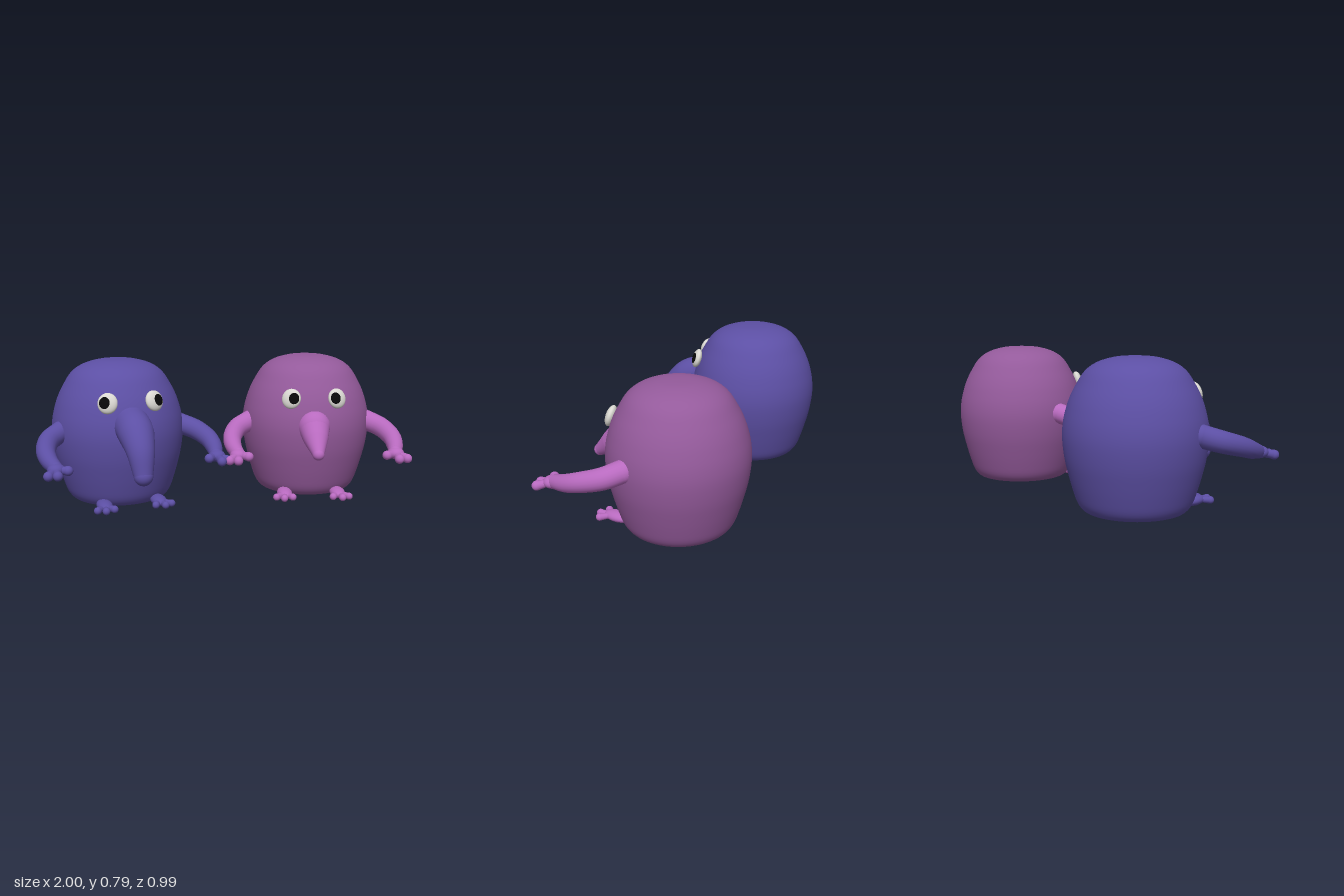
import * as THREE from 'three';
import { mergeVertices } from 'three/addons/utils/BufferGeometryUtils.js';

const material = (name, color) => {
  const m = new THREE.MeshStandardMaterial({ color });
  m.name = name;
  return m;
};

const add = (parent, name, geometry, mat) => {
  const mesh = new THREE.Mesh(geometry, mat);
  mesh.name = name;
  parent.add(mesh);
  return mesh;
};

const ellipsoid = (parent, name, mat, pos, size) => {
  const mesh = add(parent, name, new THREE.SphereGeometry(1, 28, 20), mat);
  mesh.position.set(...pos);
  mesh.scale.set(...size);
  return mesh;
};

// Round-ended tube through points whose radius follows the radii list
function limb(parent, name, mat, points, radii, steps = 24, sides = 20) {
  const group = new THREE.Group();
  group.name = name;
  parent.add(group);
  const curve = new THREE.CatmullRomCurve3(points.map(p => new THREE.Vector3(...p)));
  let geo = new THREE.TubeGeometry(curve, steps, 1, sides);
  const pos = geo.attributes.position;
  const v = new THREE.Vector3();
  for (let i = 0; i <= steps; i++) {
    const centre = curve.getPointAt(i / steps);
    const t = (i / steps) * (radii.length - 1);
    const k = Math.min(Math.floor(t), radii.length - 2);
    const r = THREE.MathUtils.lerp(radii[k], radii[k + 1], t - k);
    for (let j = 0; j <= sides; j++) {
      const n = i * (sides + 1) + j;
      v.fromBufferAttribute(pos, n).sub(centre).multiplyScalar(r).add(centre);
      pos.setXYZ(n, v.x, v.y, v.z);
    }
  }
  geo.deleteAttribute('uv');
  geo.deleteAttribute('normal');
  geo = mergeVertices(geo, 1e-5);
  geo.computeVertexNormals();
  add(group, name + 'Tube', geo, mat);
  const ends = [[points[0], radii[0]], [points.at(-1), radii.at(-1)]];
  for (const [p, r] of ends) ellipsoid(group, name + 'End', mat, p, [r, r, r]);
  return group;
}

// Barrel-shaped body with a flat base
function bodyGeometry() {
  const side = [
    [0.22, 0.003], [0.26, 0.014], [0.29, 0.05], [0.312, 0.11], [0.335, 0.19], [0.356, 0.28],
    [0.367, 0.38], [0.362, 0.46], [0.346, 0.53], [0.327, 0.585], [0.3, 0.64], [0.255, 0.71],
    [0.195, 0.754], [0.115, 0.779], [0.05, 0.786], [0, 0.787]
  ].map(p => new THREE.Vector2(...p));
  const profile = new THREE.SplineCurve(side).getPoints(50);
  profile[profile.length - 1].x = 0;
  return new THREE.LatheGeometry([new THREE.Vector2(0, 0), ...profile], 64);
}

function creature(name, x, turn, bodyMat, limbMat, white, black, o) {
  const g = new THREE.Group();
  g.name = name;
  g.position.set(x, 0, -0.142);
  g.rotation.y = turn;
  add(g, 'body', bodyGeometry(), bodyMat);
  limb(g, 'nose', limbMat, o.nose, o.noseRadii, 32, 28);

  for (const s of [-1, 1]) {
    const side = s > 0 ? 'left' : 'right';
    const flip = pts => pts.map(([a, b, c]) => [a * s, b, c]);

    // Arm, palm and three fingers
    limb(g, side + 'Arm', limbMat, flip([
      [0.337, 0.413, 0.093], [0.41, 0.385, 0.163], [0.447, 0.352, 0.278],
      [0.445, 0.324, 0.37], [0.427, 0.304, 0.45]
    ]), [0.058, 0.056, 0.052, 0.046, 0.036]);
    ellipsoid(g, side + 'Palm', limbMat, [0.427 * s, 0.3, 0.464], [0.044, 0.032, 0.045]);
    const fingers = [[0.372, 0.297, 0.497], [0.43, 0.284, 0.535], [0.475, 0.284, 0.523]];
    for (const tip of fingers)
      limb(g, side + 'Finger', limbMat, flip([[0.427, 0.3, 0.462], tip]), [0.022, 0.02, 0.025], 8, 14);

    // Foot with three toes
    ellipsoid(g, side + 'Foot', limbMat, [0.15 * s, 0.033, 0.285], [0.042, 0.028, 0.08]);
    for (const [tx, tz] of [[0.113, 0.365], [0.162, 0.385], [0.203, 0.36]])
      limb(g, side + 'Toe', limbMat, flip([[0.152, 0.032, 0.31], [tx, 0.03, tz]]), [0.018, 0.016, 0.02], 8, 14);

    // Flattened eye lying against the body, with a thin pupil cap
    const eye = new THREE.Group();
    eye.name = side + 'Eye';
    const a = s * 0.375;
    eye.position.set(Math.sin(a) * 0.343, o.eyeY, Math.cos(a) * 0.343);
    eye.rotation.set(-0.3, a, 0, 'YXZ');
    g.add(eye);
    ellipsoid(eye, 'eyeball', white, [0, 0, 0], [0.053, 0.056, 0.026]);
    const cap = new THREE.SphereGeometry(1, 28, 8, 0, Math.PI * 2, 0, 0.58);
    cap.rotateX(Math.PI / 2).rotateY(s * o.gaze).scale(0.0545, 0.0575, 0.0275);
    add(eye, 'pupil', cap, black);
  }
  return g;
}

export function createModel() {
  const blue = material('blue violet', 0x5c4fa4);
  const plum = material('plum', 0x945a9b);
  const orchid = material('orchid', 0xb86abf);
  const white = material('eye white', 0xdad8d2);
  const black = material('pupil black', 0x080808);

  const model = new THREE.Group();
  model.name = 'creaturePair';
  model.add(
    // Long drooping nose
    creature('blueCreature', -0.555, 0.157, blue, blue, white, black, {
      eyeY: 0.592, gaze: 0.3,
      nose: [[0, 0.47, 0.31], [0, 0.445, 0.4], [0, 0.365, 0.495], [0, 0.246, 0.545]],
      noseRadii: [0.1, 0.094, 0.072, 0.05]
    }),
    // Short pointed nose
    creature('pinkCreature', 0.545, -0.148, plum, orchid, white, black, {
      eyeY: 0.577, gaze: -0.45,
      nose: [[0, 0.425, 0.33], [0, 0.365, 0.415], [0, 0.305, 0.5]],
      noseRadii: [0.09, 0.066, 0.032]
    })
  );
  return model;
}
